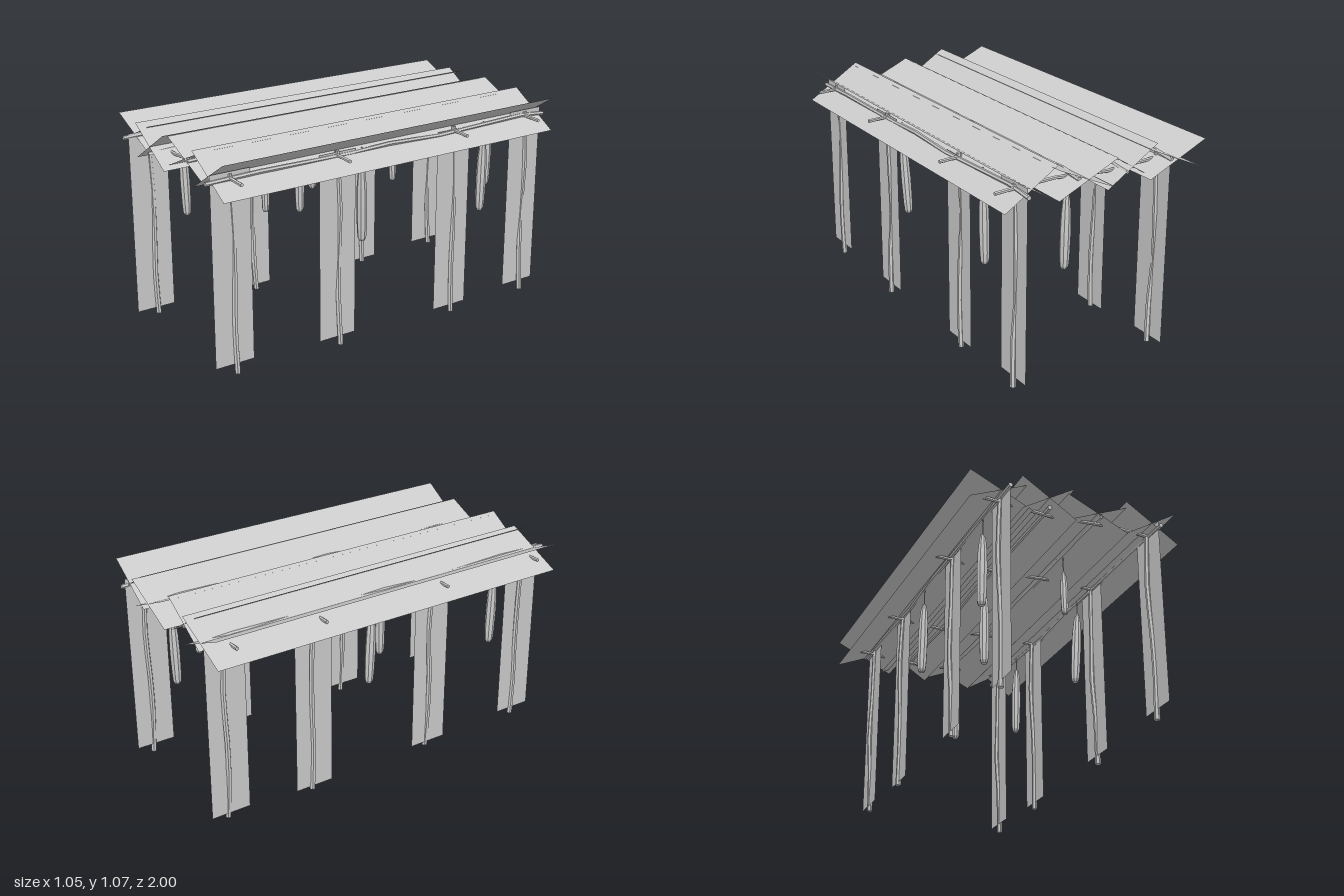
import * as THREE from 'three';

const wood = new THREE.MeshStandardMaterial({ color: 0xcccccc, flatShading: true, side: THREE.DoubleSide });
wood.name = 'paleGrey';

// Crooked six-sided pole with closed ends, passing through a few points.
// The main axis ('x', 'y' or 'z') only decides which way the rings face.
function pole(name, points, axis, r0, r1 = r0) {
  const curve = new THREE.CatmullRomCurve3(points.map((p) => new THREE.Vector3(...p)), false, 'centripetal');
  const geo = new THREE.CylinderGeometry(r1, r0, 1, 6, 8);
  const pos = geo.attributes.position;
  const v = new THREE.Vector3();
  const c = new THREE.Vector3();
  for (let i = 0; i < pos.count; i++) {
    v.fromBufferAttribute(pos, i);
    curve.getPoint(THREE.MathUtils.clamp(v.y + 0.5, 0, 1), c);
    // cyclic swaps keep the winding intact
    if (axis === 'x') c.add(new THREE.Vector3(0, v.z, v.x));
    else if (axis === 'z') c.add(new THREE.Vector3(v.z, v.x, 0));
    else c.add(new THREE.Vector3(v.x, 0, v.z));
    pos.setXYZ(i, c.x, c.y, c.z);
  }
  geo.computeVertexNormals();
  const mesh = new THREE.Mesh(geo, wood);
  mesh.name = name;
  return mesh;
}

// Flat sheet of zero thickness, w wide and h long.
function sheet(name, w, h) {
  const mesh = new THREE.Mesh(new THREE.PlaneGeometry(w, h), wood);
  mesh.name = name;
  return mesh;
}

// Roof leaf: two long sheets crossing in an X along z.
function roofLeaf(x0, x1, y0, y1, z0, z1) {
  const leaf = new THREE.Group();
  leaf.name = 'roofLeaf';
  const angle = Math.atan2(y1 - y0, x1 - x0);
  for (const s of [-1, 1]) {
    const half = new THREE.Group();
    const plane = sheet('roofSheet', Math.hypot(x1 - x0, y1 - y0), z1 - z0);
    plane.rotation.x = -Math.PI / 2;
    half.add(plane);
    half.rotation.z = s * angle;
    leaf.add(half);
  }
  leaf.position.set((x0 + x1) / 2, (y0 + y1) / 2, (z0 + z1) / 2);
  return leaf;
}

// Tapered bundle hanging on a short string.
function bundle(x, z, bottom, leanX, leanZ) {
  const g = new THREE.Group();
  g.name = 'hangingBundle';
  const len = 0.9 - bottom;
  const r = len > 0.3 ? 1 : 0.75;
  const profile = [
    [0, -1], [0.014, -1], [0.021, -0.96], [0.024, -0.85], [0.026, -0.55],
    [0.024, -0.3], [0.018, -0.12], [0.010, -0.02], [0, 0],
  ].map(([a, b]) => new THREE.Vector2(a * r, b * len));
  const body = new THREE.Mesh(new THREE.LatheGeometry(profile, 8), wood);
  body.name = 'bundleBody';
  body.rotation.set(-leanZ, 0, leanX);
  const string = new THREE.Mesh(new THREE.CylinderGeometry(0.003, 0.003, 0.09, 5), wood);
  string.name = 'bundleString';
  string.position.y = 0.035;
  g.add(body, string);
  g.position.set(x, 0.9, z);
  return g;
}

export function createModel() {
  const model = new THREE.Group();
  model.name = 'dryingShelter';

  // Overlapping roof leaves
  model.add(roofLeaf(-0.53, -0.22, 0.92, 1.06, -1, 0.935));
  model.add(roofLeaf(-0.285, -0.015, 0.9, 1.07, -0.96, 0.97));
  model.add(roofLeaf(-0.035, 0.275, 0.92, 1.06, -1, 0.935));
  model.add(roofLeaf(0.255, 0.525, 0.9, 1.07, -0.96, 0.97));

  // Four frames: cross pole, two crooked posts and two wall strips each
  const frames = [
    { z: 0.875, foot: 0.02, low: 0.07, top: 1.0 },
    { z: 0.3, foot: 0.01, low: 0.05, top: 0.985 },
    { z: -0.4, foot: 0, low: 0.035, top: 0.975 },
    { z: -0.87, foot: 0.01, low: 0.055, top: 1.0 },
  ];
  frames.forEach(({ z, foot, low, top }, i) => {
    model.add(pole('crossPole',
      [[-0.47, 0.968, z], [-0.25, 0.96, z], [-0.07, 0.952, z], [0.2, 0.976, z], [0.52, 0.964, z]], 'x', 0.009));
    const w = (i % 2 ? 1 : -1) * 0.004;
    for (const [x, end] of [[-0.356, -0.346], [0.415, 0.424]]) {
      const f = x < 0 ? foot + 0.02 : foot;
      model.add(pole('post',
        [[end + w, f, z - 0.012], [x + 0.006, 0.25, z - 0.004], [x - w, 0.45, z - 0.01],
          [x + w, 0.7, z - 0.015], [x, 0.99, z]], 'y', 0.014, 0.012));
      const strip = sheet('wallStrip', 0.205, top - low);
      strip.rotation.y = Math.PI / 2;
      strip.position.set(x + 0.004, (top + low) / 2, z);
      model.add(strip);
    }
  });

  // Long poles under the roof
  for (const [x, y, z0, z1] of [[-0.36, 0.986, -0.98, 1], [-0.13, 0.965, -0.95, 0.93],
    [0.14, 0.986, -0.96, 0.93], [0.42, 0.968, -0.99, 1]]) {
    model.add(pole('longPole',
      [[x + 0.003, y - 0.004, z0], [x - 0.004, y + 0.008, -0.78], [x + 0.005, y - 0.008, -0.4],
        [x, y + 0.005, 0], [x - 0.004, y - 0.006, 0.3], [x + 0.004, y + 0.005, 0.63], [x, y - 0.004, z1]],
      'z', 0.011));
  }

  // Hanging bundles: x, z, bottom height, lean in x and z
  for (const b of [
    [0.41, 0.155, 0.505, -0.04, -0.04], [0.41, -0.6, 0.51, -0.02, 0],
    [-0.36, 0.685, 0.525, 0, -0.03], [-0.36, -0.07, 0.515, 0, -0.04],
    [-0.12, 0.155, 0.505, 0, 0], [0.145, -0.87, 0.525, 0, 0.02],
    [0.145, 0.52, 0.66, 0, 0.02], [0.145, -0.23, 0.67, 0, -0.02],
  ]) model.add(bundle(...b));

  return model;
}
